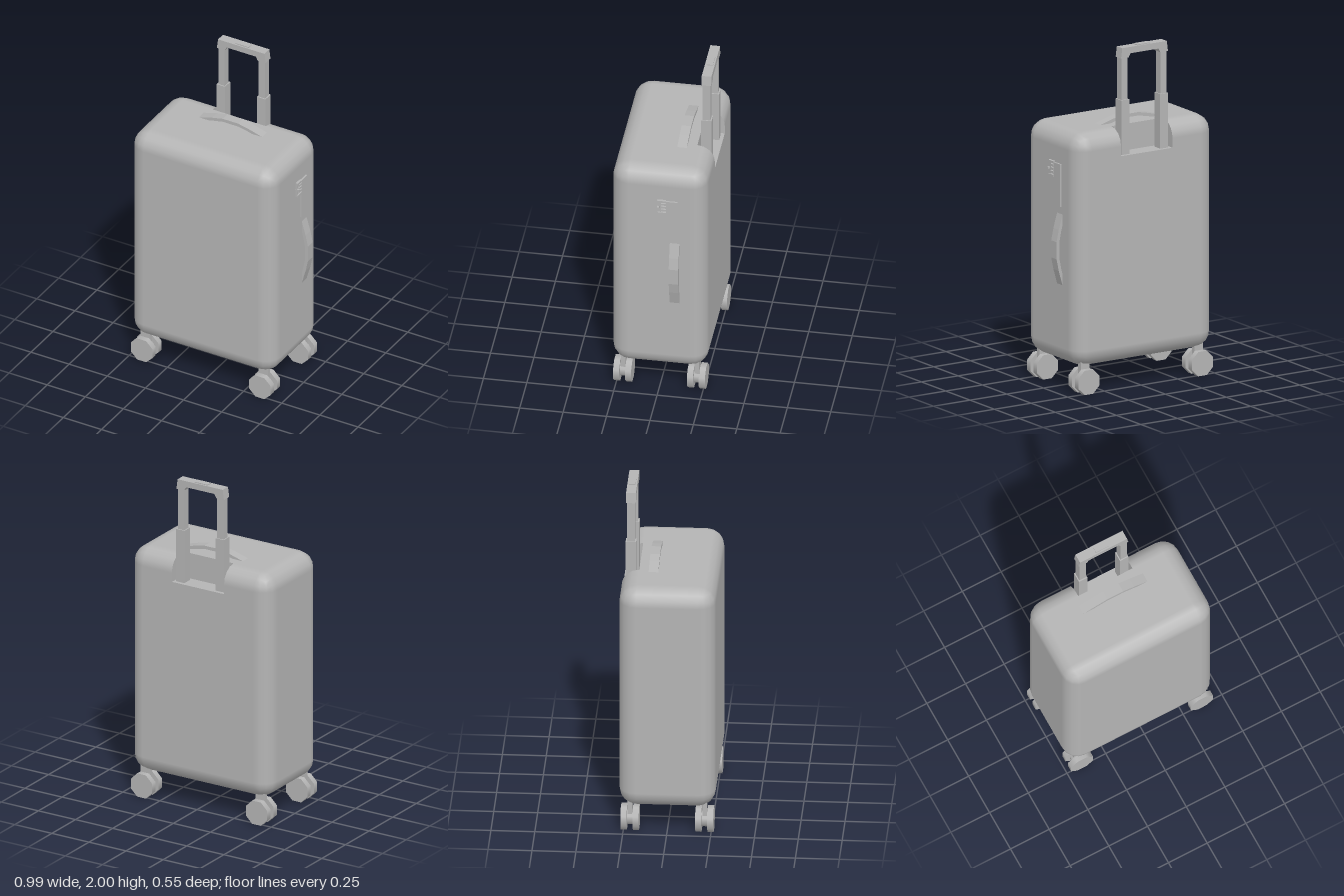
import * as THREE from 'three';

const gray = new THREE.MeshStandardMaterial({ name: 'suitcaseGray', color: 0xb4b4b4, side: THREE.DoubleSide });

// Shell dimensions and the notch cut into its top rear edge
const HALF = [0.4725, 0.685, 0.275], R = 0.1, CY = 0.84;
const NOTCH_X = 0.175, NOTCH_Y = 1.37, NOTCH_Z = -0.175;

function add(parent, name, geometry, x = 0, y = 0, z = 0) {
  const mesh = new THREE.Mesh(geometry, gray);
  mesh.name = name;
  mesh.position.set(x, y, z);
  parent.add(mesh);
  return mesh;
}

const box = (w, h, d) => new THREE.BoxGeometry(w, h, d);

// Rounded box on a grid, leaving out the cells inside the notch
function shellGeometry() {
  const extra = [[-NOTCH_X, NOTCH_X], [NOTCH_Y - CY], []];
  const cuts = HALF.map((h, i) => {
    const edge = [0, Math.PI / 8, Math.PI / 4].map(t => h - R + R * Math.tan(t));
    return [...edge, ...edge.map(v => -v), ...extra[i]].sort((a, b) => a - b);
  });
  const pos = [], nor = [], index = [];
  for (let a = 0; a < 3; a++) for (const s of [-1, 1]) {
    const u = (a + 1) % 3, v = (a + 2) % 3, U = cuts[u], V = cuts[v];
    const start = pos.length / 3;
    for (const cu of U) for (const cv of V) {
      const p = [0, 0, 0];
      p[a] = s * HALF[a]; p[u] = cu; p[v] = cv;
      const inner = p.map((c, i) => THREE.MathUtils.clamp(c, R - HALF[i], HALF[i] - R));
      const n = new THREE.Vector3(...p.map((c, i) => c - inner[i])).normalize().toArray();
      pos.push(...inner.map((c, i) => c + n[i] * R));
      nor.push(...n);
    }
    for (let i = 0; i < U.length - 1; i++) for (let j = 0; j < V.length - 1; j++) {
      const c = [0, 0, 0];
      c[a] = s * HALF[a]; c[u] = (U[i] + U[i + 1]) / 2; c[v] = (V[j] + V[j + 1]) / 2;
      if (Math.abs(c[0]) < NOTCH_X && c[1] + CY > NOTCH_Y && c[2] < NOTCH_Z) continue;
      const A = start + i * V.length + j, B = A + V.length;
      if (s > 0) index.push(A, B, B + 1, A, B + 1, A + 1);
      else index.push(A, B + 1, B, A, A + 1, B + 1);
    }
  }
  const g = new THREE.BufferGeometry();
  g.setAttribute('position', new THREE.Float32BufferAttribute(pos, 3));
  g.setAttribute('normal', new THREE.Float32BufferAttribute(nor, 3));
  g.setIndex(index);
  return g;
}

// Floor, front wall and two side walls of the notch
function addNotch(parent) {
  const top = CY + HALF[1], back = -HALF[2];
  add(parent, 'notchFloor', new THREE.PlaneGeometry(2 * NOTCH_X, NOTCH_Z - back).rotateX(-Math.PI / 2),
    0, NOTCH_Y, (NOTCH_Z + back) / 2);
  add(parent, 'notchWall', new THREE.PlaneGeometry(2 * NOTCH_X, top - NOTCH_Y).rotateY(Math.PI),
    0, (top + NOTCH_Y) / 2, NOTCH_Z);
  const side = new THREE.Shape();
  side.moveTo(NOTCH_Z, NOTCH_Y);
  side.lineTo(back, NOTCH_Y);
  side.lineTo(back, top - R);
  side.absarc(back + R, top - R, R, Math.PI, Math.PI / 2, true);
  for (const s of [-1, 1])
    add(parent, 'notchSide', new THREE.ShapeGeometry(side, 4).rotateY(-Math.PI / 2), s * NOTCH_X);
}

// Shallow arched carry strap along x, rising in +y
function strapGeometry() {
  const outer = [[-0.225, -0.005], [-0.12, 0.025], [-0.05, 0.04], [0.05, 0.04], [0.12, 0.025], [0.225, -0.005]];
  const inner = [[0.16, -0.005], [0.11, 0.008], [0.05, 0.02], [-0.05, 0.02], [-0.11, 0.008], [-0.16, -0.005]];
  const shape = new THREE.Shape([...outer, ...inner].map(p => new THREE.Vector2(...p)));
  return new THREE.ExtrudeGeometry(shape, { depth: 0.055, bevelEnabled: false }).translate(0, 0, -0.0275);
}

// Twin-disc caster with a fork
function addCaster(parent, x, z) {
  const caster = new THREE.Group();
  caster.name = 'caster';
  caster.position.set(x, 0.072, z);
  const disc = (r, w, n) => new THREE.CylinderGeometry(r, r, w, n).rotateY(Math.PI / n).rotateX(Math.PI / 2);
  for (const s of [-1, 1]) add(caster, 'wheel', disc(0.077, 0.035, 8), 0, 0, s * 0.0345);
  add(caster, 'axle', disc(0.045, 0.05, 8));
  add(caster, 'fork', box(0.06, 0.14, 0.026), 0, 0.065, 0);
  parent.add(caster);
}

// Telescopic pull handle
function addTrolley(parent) {
  const trolley = new THREE.Group();
  trolley.name = 'pullHandle';
  trolley.position.z = -0.224;
  for (const s of [-1, 1]) {
    add(trolley, 'sleeve', box(0.055, 0.32, 0.06), s * 0.1325, 1.53, 0);
    add(trolley, 'pole', box(0.042, 0.58, 0.045), s * 0.1325, 1.67, 0);
  }
  const half = [[0.152, 1.995], [0.16, 1.935], [0.108, 1.935], [0.095, 1.958]];
  const outline = [...half, ...half.map(([x, y]) => [-x, y]).reverse()];
  const grip = new THREE.Shape(outline.map(p => new THREE.Vector2(...p)));
  add(trolley, 'grip', new THREE.ExtrudeGeometry(grip, { depth: 0.056, bevelEnabled: false }), 0, 0, -0.028);
  add(trolley, 'releaseButton', box(0.088, 0.01, 0.038), 0, 1.995, 0);
  parent.add(trolley);
}

// Side lock: plate, frame and number dials
function addLock(parent) {
  const lock = new THREE.Group();
  lock.name = 'lock';
  lock.position.x = HALF[0];
  add(lock, 'lockPlate', box(0.02, 0.25, 0.065), 0, 1.205, -0.0775);
  add(lock, 'lockFrame', box(0.016, 0.085, 0.02), 0, 1.29, -0.005);
  for (const y of [1.25, 1.33]) add(lock, 'lockArm', box(0.03, 0.012, 0.05), 0, y, -0.02);
  for (let i = 0; i < 3; i++) add(lock, 'dial', box(0.026, 0.012, 0.03), 0, 1.27 + i * 0.02, -0.03);
  add(lock, 'lockKnob', box(0.045, 0.012, 0.012), 0, 1.29, 0);
  parent.add(lock);
}

export function createModel() {
  const model = new THREE.Group();
  model.name = 'suitcase';
  const parts = new THREE.Group();
  parts.name = 'suitcaseParts';
  parts.position.x = -0.0225;
  model.add(parts);

  add(parts, 'shell', shellGeometry(), 0, CY, 0);
  addNotch(parts);
  addTrolley(parts);
  add(parts, 'topHandle', strapGeometry(), 0.005, CY + HALF[1], -0.0925);
  add(parts, 'sideHandle', strapGeometry(), HALF[0], 0.83, -0.0925).rotation.z = -Math.PI / 2;
  addLock(parts);
  for (const x of [-0.3875, 0.3875]) for (const z of [-0.2125, 0.2125]) addCaster(parts, x, z);
  return model;
}
